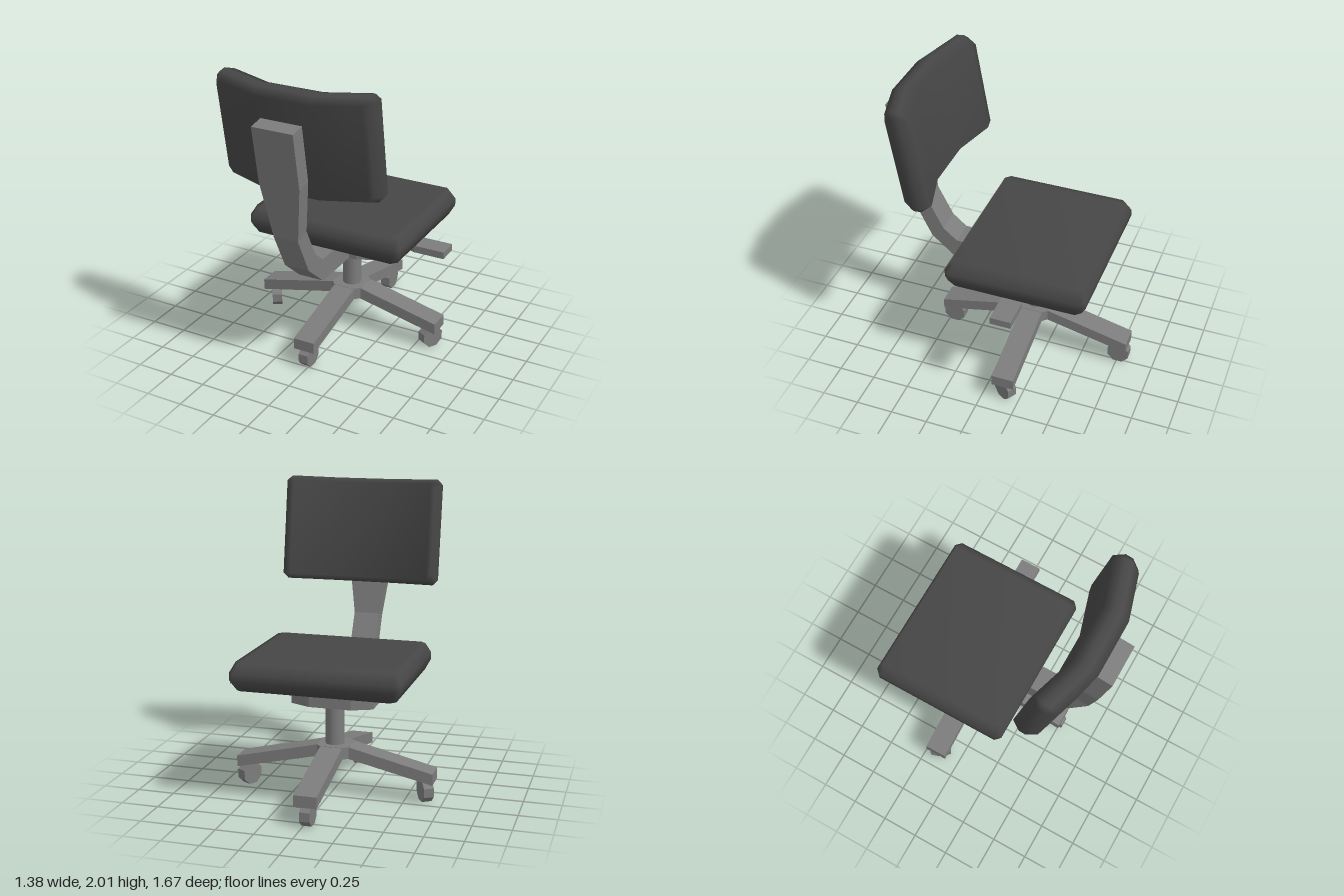
import * as THREE from 'three';

const metal = new THREE.MeshStandardMaterial({ color: 0x7c7c7c });
metal.name = 'greyMetal';
const fabric = new THREE.MeshStandardMaterial({ color: 0x464646 });
fabric.name = 'charcoalFabric';

function part(parent, name, geometry, material, x = 0, y = 0, z = 0) {
  const mesh = new THREE.Mesh(geometry, material);
  mesh.name = name;
  mesh.position.set(x, y, z);
  parent.add(mesh);
  return mesh;
}

function build(points, index) {
  const g = new THREE.BufferGeometry();
  g.setAttribute('position', new THREE.Float32BufferAttribute(points.flat(), 3));
  g.setIndex(index);
  return g;
}

function faceted(g) {
  const flat = g.index ? g.toNonIndexed() : g;
  flat.computeVertexNormals();
  return flat;
}

// Skins a run of four-cornered sections and closes both ends.
function loft(sections) {
  const index = [];
  const quad = (a, b, c, d) => index.push(a, b, c, a, c, d);
  const last = (sections.length - 1) * 4;
  for (let s = 0; s < last; s += 4) {
    for (let i = 0; i < 4; i++) {
      const j = (i + 1) % 4;
      quad(s + i, s + j, s + 4 + j, s + 4 + i);
    }
  }
  quad(3, 2, 1, 0);
  quad(last, last + 1, last + 2, last + 3);
  return faceted(build(sections.flat(), index));
}

// Bar along x from [x, bottom, top, halfWidth] stations.
const bar = (stations) => loft(stations.map(([x, lo, hi, w]) =>
  [[x, lo, -w], [x, hi, -w], [x, hi, w], [x, lo, w]]));

// Upright eight-sided block with cut corners.
function octagonBlock(w, d, cutX, cutZ, height) {
  const shape = new THREE.Shape([
    [w, -d + cutZ], [w, d - cutZ], [w - cutX, d], [-w + cutX, d],
    [-w, d - cutZ], [-w, -d + cutZ], [-w + cutX, -d], [w - cutX, -d],
  ].map(([x, y]) => new THREE.Vector2(x, y)));
  return new THREE.ExtrudeGeometry(shape, { depth: height, bevelEnabled: false }).rotateX(-Math.PI / 2);
}

// Smooth padded slab, thickness along y, with softened rim and optional bent wings.
function cushion(W, D, half, innerColumns, bend) {
  const cut = 0.035, inset = 0.033;
  const cols = [-W, -W + cut, ...innerColumns, W - cut, W];
  const n = cols.length, ring = 2 * n;
  const points = [], index = [];
  const quad = (a, b, c, d) => index.push(a, b, c, a, c, d);
  const levels = [[-half, inset], [-0.025, 0], [0.025, 0], [half, inset]];
  for (const [t, shrink] of levels) {
    const row = (side) => cols.map((x, i) => {
      const depth = (i === 0 || i === n - 1 ? D - cut : D) - shrink;
      return [x * (W - shrink) / W, t - bend(Math.abs(x)), side * depth];
    });
    points.push(...row(1), ...row(-1).reverse());
  }
  // Rim
  for (let l = 0; l < 3; l++) {
    for (let i = 0; i < ring; i++) {
      const a = l * ring + i, b = l * ring + (i + 1) % ring;
      quad(a, b, b + ring, a + ring);
    }
  }
  // Two broad faces
  const top = 3 * ring;
  for (let i = 0; i < n - 1; i++) {
    const far = ring - 1 - i;
    quad(top + i, top + i + 1, top + far - 1, top + far);
    quad(far, far - 1, i + 1, i);
  }
  const g = build(points, index);
  g.computeVertexNormals();
  return g;
}

export function createModel() {
  const model = new THREE.Group();
  model.name = 'officeChair';

  // Four-armed base with casters
  const base = new THREE.Group();
  base.name = 'base';
  base.position.set(-0.02, 0, -0.15);
  model.add(base);
  part(base, 'hub', octagonBlock(0.108, 0.108, 0.033, 0.033, 0.08), metal, 0, 0.26, 0);
  const arm = bar([[0.1, 0.26, 0.34, 0.075], [0.67, 0.13, 0.206, 0.075]]);
  const wheel = faceted(new THREE.CylinderGeometry(0.078, 0.078, 0.068, 8)
    .rotateY(Math.PI / 8).rotateZ(Math.PI / 2));
  const swivels = [-0.55, 0, 0.55, 0];
  swivels.forEach((swivel, i) => {
    const angle = i * Math.PI / 2;
    part(base, 'baseArm', arm, metal).rotation.y = angle;
    part(base, 'caster', wheel, metal, 0.608 * Math.cos(angle), 0.072, -0.608 * Math.sin(angle))
      .rotation.y = swivel;
  });

  // Column and mechanism under the seat
  part(model, 'column', new THREE.CylinderGeometry(0.064, 0.064, 0.36, 16), metal, -0.015, 0.46, -0.15);
  part(model, 'mechanism', octagonBlock(0.275, 0.18, 0.135, 0.06, 0.156), metal, -0.027, 0.62, -0.14);

  // Height lever with a wide paddle
  part(model, 'lever', bar([
    [0.2, 0.707, 0.755, 0.035], [0.38, 0.707, 0.755, 0.035],
    [0.48, 0.707, 0.755, 0.07], [0.69, 0.707, 0.755, 0.07],
  ]), metal, 0, 0, -0.155);

  // Bent back support: [outer z, outer y, inner z, inner y, half width]
  const spine = [
    [0, 0.62, 0, 0.775, 0.087],
    [0.4, 0.62, 0.4, 0.775, 0.087],
    [0.58, 0.775, 0.495, 0.855, 0.087],
    [0.705, 1.03, 0.6, 1.06, 0.087],
    [0.771, 1.415, 0.665, 1.43, 0.141],
    [0.836, 1.79, 0.73, 1.808, 0.141],
  ];
  part(model, 'backSupport', loft(spine.map(([oz, oy, iz, iy, w]) =>
    [[-w, oy, oz], [w, oy, oz], [w, iy, iz], [-w, iy, iz]])), metal, -0.026, 0, 0);

  // Cushions
  part(model, 'seat', cushion(0.552, 0.474, 0.09, [], () => 0), fabric, -0.013, 0.87, -0.178);
  const wings = (x) => 0.088 * Math.max(0, x - 0.2) / 0.31;
  part(model, 'backrest', cushion(0.545, 0.356, 0.088, [-0.2, 0.2], wings), fabric, -0.013, 1.645, 0.608)
    .rotation.x = Math.PI / 2 + 0.168;

  return model;
}
